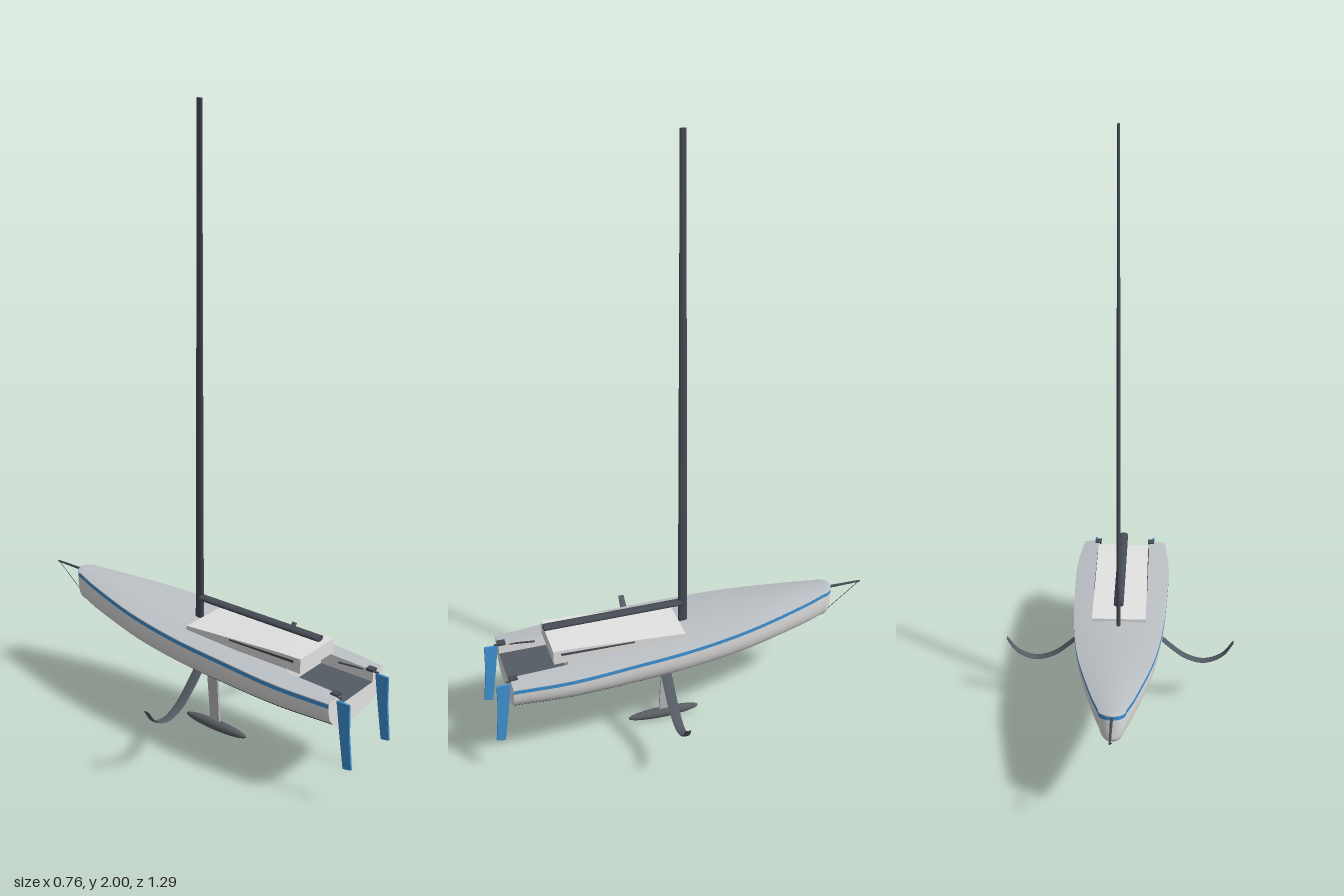
import * as THREE from 'three';

const mat = (name, color, side = THREE.FrontSide) =>
  Object.assign(new THREE.MeshStandardMaterial({ color, side }), { name });

export function createModel() {
  const group = new THREE.Group();
  const D = THREE.DoubleSide;
  const white = mat('hull white', 0xe2e2e2, D);
  const deckGrey = mat('deck grey', 0xbcc1c6, D);
  const blue = mat('blue', 0x3f94d6, D);
  const bottomBlack = mat('bottom black', 0x2b2d32, D);
  const spar = mat('spar charcoal', 0x464b55);
  const floorGrey = mat('cockpit grey', 0x555c64, D);
  const finGrey = mat('fin grey', 0xb8babf);
  const bulbGrey = mat('bulb grey', 0x5a5e63);

  const add = (name, geo, material) => {
    const m = new THREE.Mesh(geo, material);
    m.name = name;
    group.add(m);
    return m;
  };

  // Surface through rows of [x, y, z] points
  const grid = (rows) => {
    const n = rows[0].length, idx = [];
    for (let i = 0; i < rows.length - 1; i++)
      for (let j = 0; j < n - 1; j++) {
        const a = i * n + j, b = a + n;
        idx.push(a, b, a + 1, b, b + 1, a + 1);
      }
    const g = new THREE.BufferGeometry();
    g.setAttribute('position', new THREE.Float32BufferAttribute(rows.flat(2), 3));
    g.setIndex(idx);
    g.computeVertexNormals();
    return g;
  };

  // Side profile of [z, y] points, extruded across x
  const plate = (name, pts, thick, x, material) => {
    const shape = new THREE.Shape(pts.map(p => new THREE.Vector2(...p)));
    const g = new THREE.ExtrudeGeometry(shape, { depth: thick, bevelEnabled: false });
    g.translate(0, 0, -thick / 2).rotateY(-Math.PI / 2).translate(x, 0, 0);
    return add(name, g, material);
  };

  // Rod between two points
  const rod = (name, a, b, r0, r1, material) => {
    const A = new THREE.Vector3(...a), B = new THREE.Vector3(...b);
    const m = add(name, new THREE.CylinderGeometry(r1, r0, A.distanceTo(B), 10), material);
    m.position.copy(A).lerp(B, 0.5);
    m.quaternion.setFromUnitVectors(new THREE.Vector3(0, 1, 0), B.sub(A).normalize());
    return m;
  };

  // Hull stations: half beam, sheer height, keel height, z
  const lines = [
    [0.147, 0.349, 0.246, 0.587], [0.162, 0.355, 0.243, 0.4], [0.157, 0.364, 0.244, 0.2],
    [0.146, 0.373, 0.25, 0], [0.12, 0.387, 0.264, -0.2], [0.071, 0.403, 0.289, -0.4],
    [0.041, 0.412, 0.307, -0.495]];
  const sheer = new THREE.CatmullRomCurve3(lines.map(l => new THREE.Vector3(l[0], l[1], l[3])), false, 'catmullrom');
  const keel = new THREE.CatmullRomCurve3(lines.map(l => new THREE.Vector3(0, l[2], l[3])), false, 'catmullrom');
  const stations = [];
  for (let i = 0; i <= 48; i++) {
    const s = sheer.getPoint(i / 48), k = keel.getPoint(i / 48);
    stations.push({ w: s.x, top: s.y, low: k.y, z: s.z });
  }
  for (let i = 1; i <= 8; i++) {
    const a = i / 8 * Math.PI / 2;
    stations.push({ w: 0.041 * Math.cos(a) + 0.0005, top: 0.412 + 0.004 * Math.sin(a),
      low: 0.307 + 0.03 * (1 - Math.cos(a)), z: -0.495 - 0.035 * Math.sin(a) });
  }

  // Rounded section; t runs from the sheer (0) to the keel (PI / 2)
  const N = 3;
  const section = (s, t) => [
    s.w * Math.pow(Math.max(0, Math.cos(t)), 2 / N),
    s.top - (s.top - s.low) * Math.pow(Math.sin(t), 2 / N)];
  const angleAt = (s, y) =>
    Math.asin(Math.pow(THREE.MathUtils.clamp((s.top - y) / (s.top - s.low), 0, 1), N / 2));
  const waterline = 0.277;
  const bands = [
    ['sheerStripe', blue, s => angleAt(s, s.top - 0.003), s => angleAt(s, s.top - 0.016), 2],
    ['sheerEdge', white, () => 0, s => angleAt(s, s.top - 0.003), 1],
    ['topsides', white, s => angleAt(s, s.top - 0.016), s => angleAt(s, waterline), 14],
    ['bottom', bottomBlack, s => angleAt(s, waterline), () => Math.PI / 2, 14]];
  for (const side of [1, -1])
    for (const [name, material, from, to, n] of bands)
      add(name, grid(stations.map(s => Array.from({ length: n + 1 }, (_, j) => {
        const [x, y] = section(s, THREE.MathUtils.lerp(from(s), to(s), j / n));
        return [side * x, y, s.z];
      }))), material);

  // Deck with camber, open at the cockpit
  const well = 0.09, floorY = 0.32, front = 8;
  const deckY = (s, x) => s.top + Math.min(0.012, s.w * 0.15) * (1 - (x / s.w) ** 2);
  const deckStrip = (list, x0, x1, n) => grid(list.map(s => Array.from({ length: n + 1 }, (_, j) => {
    const x = THREE.MathUtils.lerp(x0(s), x1(s), j / n);
    return [x, deckY(s, x), s.z];
  })));
  const aft = stations.slice(0, front + 1);
  add('foredeck', deckStrip(stations.slice(front), s => -s.w, s => s.w, 14), deckGrey);
  for (const side of [1, -1]) {
    add('sideDeck', deckStrip(aft, () => side * well, s => side * s.w, 4), deckGrey);
    add('cockpitSide', grid(aft.map(s =>
      [[side * well, deckY(s, well), s.z], [side * well, floorY, s.z]])), white);
  }
  const fz = stations[front].z, stern = stations[0];
  add('cockpitFloor', grid([[[-well, floorY, stern.z], [well, floorY, stern.z]],
    [[-well, floorY, fz], [well, floorY, fz]]]), floorGrey);
  add('bulkhead', grid([[[-well, floorY, fz], [well, floorY, fz]],
    [[-well, 0.38, fz], [well, 0.38, fz]]]), white);

  // Transom
  const half = Array.from({ length: 21 }, (_, j) => section(stern, j / 20 * Math.PI / 2));
  const outline = [[well, floorY], [well, deckY(stern, well)], ...half];
  const loop = [...outline, ...outline.slice(0, -1).reverse().map(([x, y]) => [-x, y])];
  add('transom', new THREE.ShapeGeometry(new THREE.Shape(loop.map(p => new THREE.Vector2(...p))))
    .translate(0, 0, stern.z), white);

  // Cabin with side windows
  plate('cabin', [[0.01, 0.372], [0.445, 0.372], [0.445, 0.42], [0.37, 0.418], [0.01, 0.393]], 0.176, 0, white);
  for (const side of [1, -1])
    plate('cabinWindow', [[0.18, 0.397], [0.42, 0.401], [0.42, 0.409], [0.18, 0.4015]], 0.003, side * 0.0885, spar);

  // Mast and boom, both oval
  const mast = add('mast', new THREE.CylinderGeometry(0.6, 1, 1.62, 16), spar);
  mast.scale.set(0.007, 1, 0.016);
  mast.position.set(0, 1.19, -0.008);
  const boom = add('boom', new THREE.CylinderGeometry(1, 1, 0.455, 16).rotateX(Math.PI / 2), spar);
  boom.scale.set(0.016, 0.009, 1);
  boom.position.set(0, 0.456, 0.227);

  // Bowsprit and its stay
  rod('bowsprit', [0, 0.405, -0.5], [0, 0.405, -0.643], 0.005, 0.003, spar);
  rod('bobstay', [0, 0.404, -0.638], [0, 0.305, -0.515], 0.001, 0.001, spar);

  // Keel fin and bulb
  plate('keelFin', [[0.02, 0.26], [0.04, 0.025], [0.076, 0.025], [0.063, 0.26]], 0.008, 0, finGrey);
  const bulb = add('keelBulb', new THREE.SphereGeometry(1, 24, 16).rotateX(Math.PI / 2), bulbGrey);
  bulb.scale.set(0.017, 0.018, 0.123);
  bulb.position.set(0, 0.018, 0.06);

  // Curved side foils, rudders and tillers
  const foilPath = new THREE.CatmullRomCurve3([[0.125, 0.285], [0.17, 0.24], [0.225, 0.197],
    [0.285, 0.18], [0.345, 0.203], [0.382, 0.252]].map(p => new THREE.Vector3(...p, 0)));
  for (const side of [1, -1]) {
    const rows = [];
    for (let i = 0; i <= 28; i++) {
      const u = i / 28, p = foilPath.getPoint(u), d = foilPath.getTangent(u);
      const z0 = 0.072 + 0.016 * u * u, z1 = 0.107, thick = i === 28 ? 0.0002 : 0.0028;
      rows.push(Array.from({ length: 13 }, (_, j) => {
        const a = j / 12 * Math.PI * 2, h = thick * Math.sin(a);
        return [side * (p.x - d.y * h), p.y + d.x * h, (z0 + z1) / 2 + (z1 - z0) / 2 * Math.cos(a)];
      }));
    }
    add('sideFoil', grid(rows), floorGrey);
    plate('rudder', [[0.588, 0.343], [0.632, 0.343], [0.634, 0.25], [0.645, 0.135], [0.617, 0.13], [0.6, 0.25]],
      0.007, side * 0.105, blue);
    rod('tiller', [side * 0.1, 0.35, 0.6], [side * 0.08, 0.35, 0.47], 0.003, 0.003, spar);
    add('rudderFitting', new THREE.BoxGeometry(0.022, 0.008, 0.025), spar)
      .position.set(side * 0.096, 0.357, 0.577);
  }
  return group;
}
